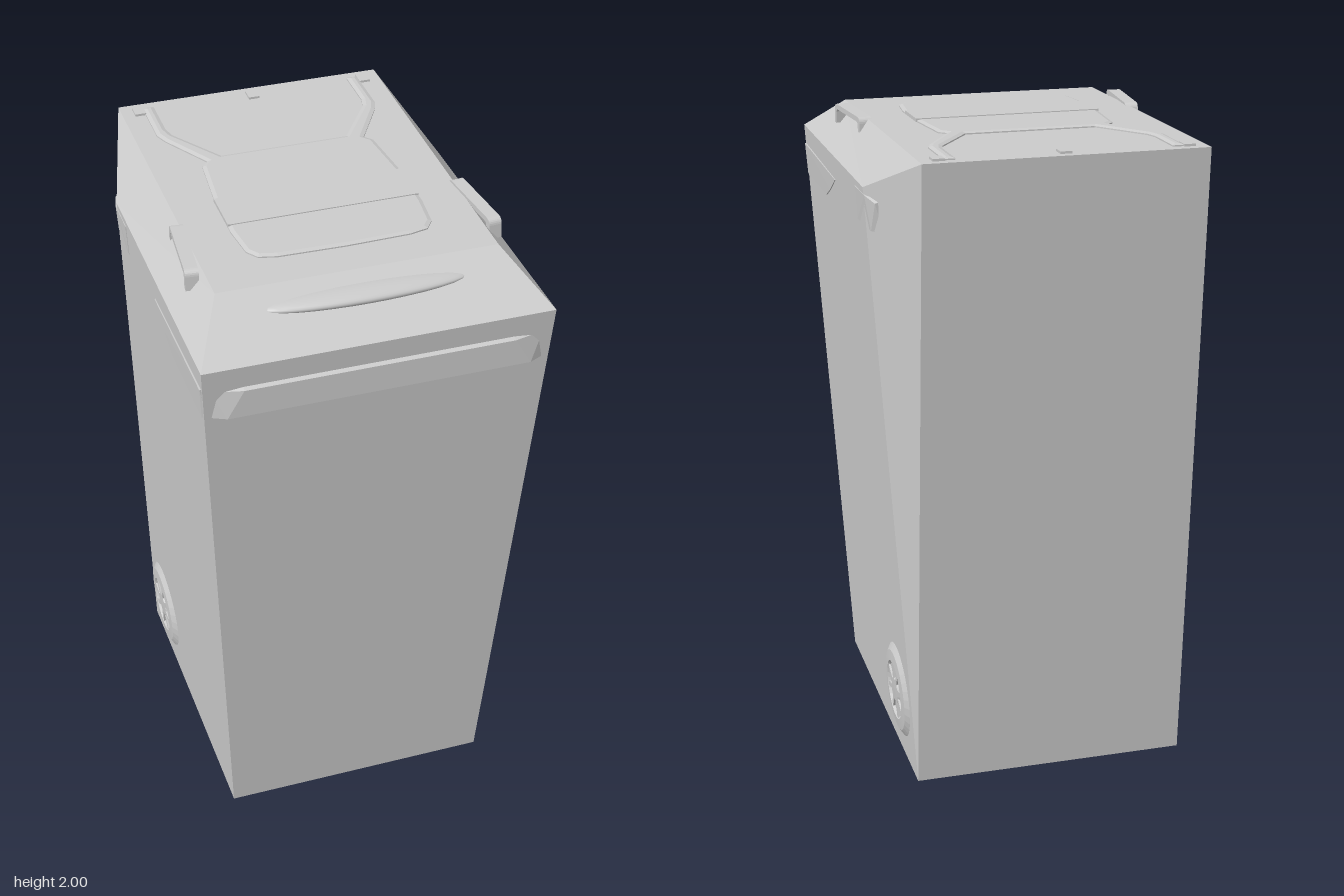
import * as THREE from 'three';
import { ConvexGeometry } from 'three/addons/geometries/ConvexGeometry.js';

const flat = new THREE.MeshStandardMaterial({ color: 0xcccccc, flatShading: true, side: THREE.DoubleSide });
const smooth = new THREE.MeshStandardMaterial({ color: 0xcccccc, side: THREE.DoubleSide });

function add(parent, name, geometry, material = flat) {
  const mesh = new THREE.Mesh(geometry, material);
  mesh.name = name;
  parent.add(mesh);
  return mesh;
}

// Flat polygons, each turned to face away from the middle of the bin
function shell(polygons) {
  const out = [], mid = new THREE.Vector3(0, 1, 0);
  for (const poly of polygons) {
    const v = poly.map((p) => new THREE.Vector3(...p));
    for (let i = 1; i + 1 < v.length; i++) {
      const tri = [v[0], v[i], v[i + 1]];
      const n = tri[1].clone().sub(tri[0]).cross(tri[2].clone().sub(tri[0]));
      if (n.dot(tri[0].clone().sub(mid)) < 0) tri.reverse();
      tri.forEach((p) => out.push(p.x, p.y, p.z));
    }
  }
  const g = new THREE.BufferGeometry();
  g.setAttribute('position', new THREE.Float32BufferAttribute(out, 3));
  g.computeVertexNormals();
  return g;
}

const hull = (points) => new ConvexGeometry(points.map((p) => new THREE.Vector3(...p)));
const mirror = ([x, y, z]) => [-x, y, z];
const both = (points) => [...points, ...points.map(mirror)];

// Low raised plate from an [x, z] outline, lying on y = 0
function plate(outline, height, bevel) {
  const shape = new THREE.Shape(outline.map(([x, z]) => new THREE.Vector2(x, -z)));
  return new THREE.ExtrudeGeometry(shape, {
    depth: 0.004, bevelThickness: height - 0.004, bevelSize: bevel, bevelOffset: -bevel, bevelSegments: 1,
  }).rotateX(-Math.PI / 2);
}

function createWheel() {
  const wheel = new THREE.Group();
  wheel.name = 'wheel';
  const profile = [[0.17, -0.012], [0.15, 0.002], [0.13, 0.014], [0.095, 0.017], [0.088, 0.009], [0.045, 0.009], [0.04, 0.015], [0, 0.016]];
  const disc = new THREE.LatheGeometry(profile.map((p) => new THREE.Vector2(...p)).reverse(), 32);
  add(wheel, 'wheelDisc', disc);
  for (let i = 0; i < 8; i++) {
    const spoke = new THREE.BoxGeometry(0.055, 0.008, 0.016).translate(0.065, 0.011, 0);
    add(wheel, 'wheelSpoke', spoke.rotateY((i * Math.PI) / 4 + 0.2));
  }
  wheel.rotation.z = -Math.PI / 2 - 0.048;
  wheel.position.set(0.439, 0.22, -0.3);
  return wheel;
}

export function createModel() {
  const bin = new THREE.Group();
  bin.name = 'wheeledBin';

  // Corner points on the +x side
  const baseFront = [0.425, 0.02, 0.49], baseBack = [0.43, 0, -0.51];
  const rimFront = [0.52, 1.86, 0.645], rimBack = [0.522, 1.86, -0.31];
  const ridge = [0.42, 1.975, 0.44], top = [0.425, 1.995, -0.655];
  const m = mirror;

  // Tapered body with chamfered back edges
  const sides = [[baseFront, rimFront, rimBack, baseBack], [baseBack, rimBack, top]];
  add(bin, 'body', shell([
    ...sides, ...sides.map((s) => s.map(m)),
    [baseFront, rimFront, m(rimFront), m(baseFront)],
    [baseBack, top, m(top), m(baseBack)],
    [baseFront, baseBack, m(baseBack), m(baseFront)],
  ]));

  // Faceted lid
  const slopes = [[rimFront, ridge, rimBack], [ridge, top, rimBack]];
  add(bin, 'lid', shell([
    ...slopes, ...slopes.map((s) => s.map(m)),
    [rimFront, ridge, m(ridge), m(rimFront)],
    [ridge, top, m(top), m(ridge)],
  ]));

  // Raised details on the lid top, tilted with it
  const deck = new THREE.Group();
  deck.name = 'lidDetails';
  deck.position.set(0, 1.985, -0.1075);
  deck.rotation.x = Math.atan2(0.02, 1.095);
  bin.add(deck);
  const onDeck = (name, geometry) => add(deck, name, geometry.translate(0, 0, 0.1075));

  // Panel with two arms running to the back edge
  const half = [
    [0.2, -0.265], [0.31, -0.43], [0.32, -0.47], [0.32, -0.62], [0.355, -0.62], [0.355, -0.44], [0.34, -0.4],
    [0.25, -0.245], [0.272, -0.22], [0.292, 0], [0.292, 0.16], [0.28, 0.27], [0.255, 0.305], [0.2, 0.318], [0, 0.323],
  ];
  const outline = [...half, ...half.slice(0, -1).reverse().map(([x, z]) => [-x, z])];
  onDeck('lidPanel', plate(outline, 0.008, 0.012));
  onDeck('lidStrap', new THREE.BoxGeometry(0.584, 0.012, 0.15).translate(0, 0.005, 0.053));
  for (const x of [-0.37, 0, 0.37]) {
    onDeck('hingeTab', new THREE.BoxGeometry(0.035, 0.012, 0.045).translate(x, 0.001, -0.605));
  }

  // Curved finger grip on the front slope
  const grip = add(bin, 'frontGrip', new THREE.SphereGeometry(1, 32, 16), smooth);
  grip.scale.set(0.31, 0.022, 0.052);
  grip.position.set(0, 1.932, 0.495);

  // Lip under the front of the lid
  add(bin, 'frontLip', hull(both([
    [0.515, 1.7, 0.62], [0.45, 1.7, 0.651], [0.4, 1.785, 0.651], [0.49, 1.785, 0.63], [0.5, 1.77, 0.62], [0.4, 1.795, 0.63],
  ])));

  // Parts repeated on both sides
  for (const s of [1, -1]) {
    const side = new THREE.Group();
    side.name = s > 0 ? 'leftSide' : 'rightSide';
    side.scale.x = s;
    bin.add(side);
    side.add(createWheel());

    // Lid skirt, sweeping up toward the back
    add(side, 'sideSkirt', hull([
      [0.5, 1.7, 0.63], [0.516, 1.7, 0.62], [0.516, 1.7, 0.3], [0.518, 1.735, 0.22], [0.52, 1.785, 0.13],
      [0.522, 1.8, 0.63], [0.5, 1.8, 0.63], [0.5, 1.7, 0.3], [0.5, 1.785, 0.13],
    ]));
    // Bulge on the chamfer below the lid
    add(side, 'rearBulge', hull([
      [0.523, 1.84, -0.2], [0.517, 1.74, -0.2], [0.522, 1.84, -0.33], [0.51, 1.74, -0.36],
      [0.505, 1.83, -0.4], [0.48, 1.74, -0.4], [0.48, 1.84, -0.4], [0.48, 1.74, -0.2], [0.48, 1.84, -0.2],
    ]));

    // Strap handle: a flat bar bent down at both ends
    const bar = new THREE.Shape();
    bar.moveTo(-0.137, -0.035);
    bar.lineTo(-0.134, 0.008);
    bar.quadraticCurveTo(-0.132, 0.026, -0.112, 0.026);
    bar.lineTo(0.112, 0.026);
    bar.quadraticCurveTo(0.132, 0.026, 0.134, 0.008);
    bar.lineTo(0.137, -0.035);
    bar.lineTo(0.117, -0.035);
    bar.lineTo(0.114, 0.002);
    bar.quadraticCurveTo(0.112, 0.01, 0.1, 0.01);
    bar.lineTo(-0.1, 0.01);
    bar.quadraticCurveTo(-0.112, 0.01, -0.114, 0.002);
    bar.lineTo(-0.117, -0.035);
    const handleGeometry = new THREE.ExtrudeGeometry(bar, { depth: 0.04, bevelEnabled: false, curveSegments: 6 });
    const handle = add(side, 'sideHandle', handleGeometry.translate(0, 0, -0.02));
    handle.rotation.y = Math.PI / 2 - 0.09;
    handle.position.set(0.443, 1.962, 0.198);
    handle.rotation.y = Math.PI / 2 - 0.09 * -1;
    handle.name = 'sideHandle';
  }
  return bin;
}
